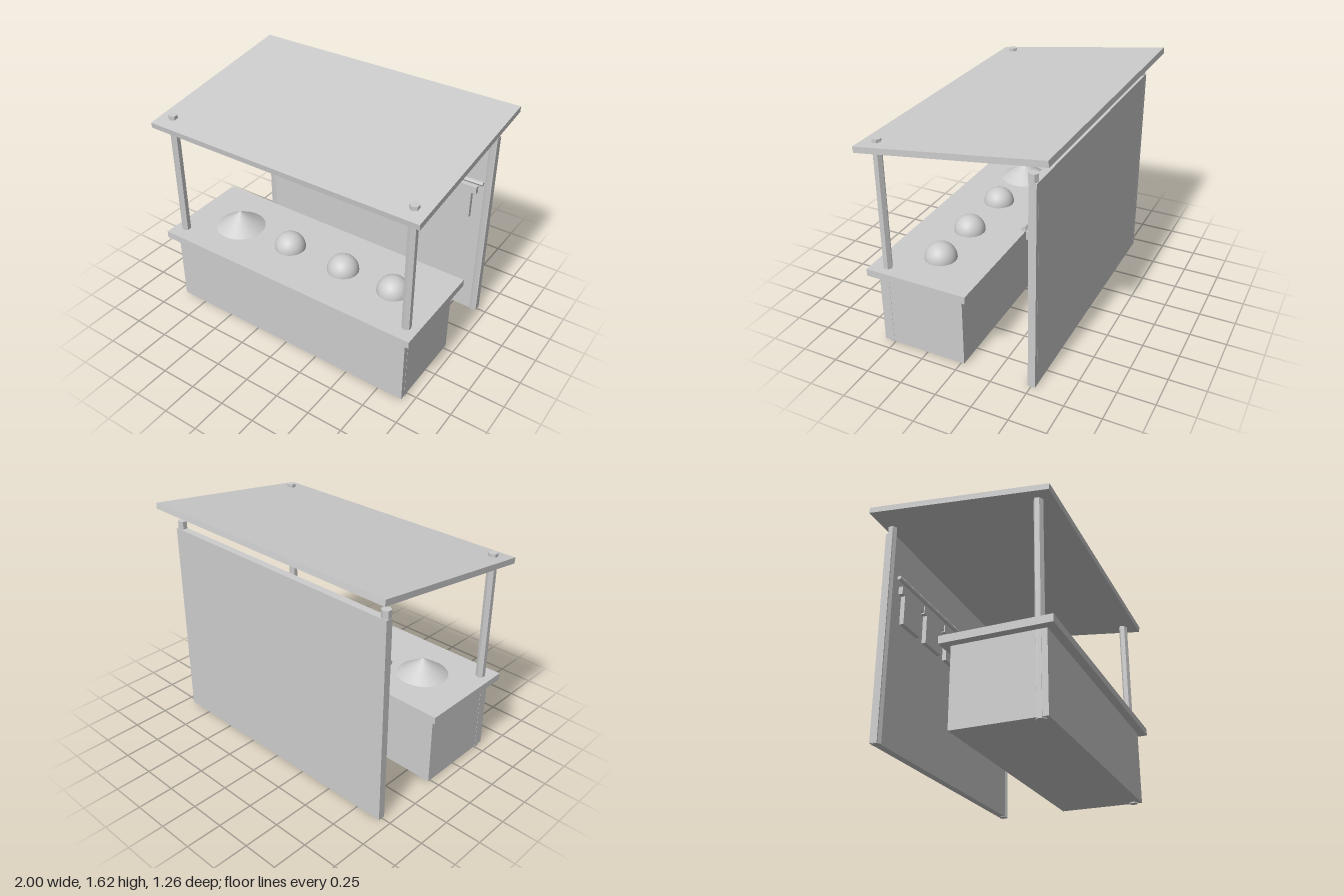
import * as THREE from 'three';

export function createModel() {
  const stall = new THREE.Group();
  stall.name = 'marketStall';

  const grey = new THREE.MeshStandardMaterial({ color: 0xcccccc });
  grey.name = 'light grey';

  const add = (name, geometry, x, y, z, parent = stall) => {
    const mesh = new THREE.Mesh(geometry, grey);
    mesh.name = name;
    mesh.position.set(x, y, z);
    parent.add(mesh);
    return mesh;
  };
  // Box given by its lower and upper limits in y and z, centred on x
  const slab = (name, halfWidth, y0, y1, z0, z1) =>
    add(name, new THREE.BoxGeometry(halfWidth * 2, y1 - y0, z1 - z0), 0, (y0 + y1) / 2, (z0 + z1) / 2);
  // Six-sided bar with flat faces
  const hexBar = (radius, length) =>
    new THREE.CylinderGeometry(radius, radius, length, 6).toNonIndexed();
  const flatten = (geometry) => { geometry.computeVertexNormals(); return geometry; };

  // Counter and back wall
  slab('counterBase', 0.931, 0.008, 0.53, -0.026, 0.574);
  slab('counterTop', 0.986, 0.53, 0.58, -0.081, 0.631);
  slab('backWall', 0.934, 0.003, 1.432, -0.529, -0.479);

  // Sloping roof, higher at the back
  const roof = add('roof', new THREE.BoxGeometry(2, 0.04, 1.264), 0, 1.514, 0);
  roof.rotation.x = THREE.MathUtils.degToRad(8);

  // Corner posts
  const postGeometry = flatten(hexBar(0.0315, 1.485));
  for (const side of [-1, 1]) {
    add('frontPost', postGeometry, side * 0.905, 0.7425, 0.52);
    add('backPost', postGeometry, side * 0.905, 0.7425, -0.498);
  }

  // Hanging rail
  const rail = add('hangingRail', flatten(hexBar(0.015, 1.79)), 0, 1.104, -0.43);
  rail.rotation.z = Math.PI / 2;

  // Row of T-shaped shirts
  const half = [[0.137, 1.063], [0.137, 1.01], [0.104, 1.01], [0.104, 0.812]];
  const outline = [...half, ...half.map(([x, y]) => [-x, y]).reverse()];
  const shirtGeometry = new THREE.ExtrudeGeometry(
    new THREE.Shape(outline.map(([x, y]) => new THREE.Vector2(x, y))),
    { depth: 0.03, bevelEnabled: false });
  const shirts = new THREE.Group();
  shirts.name = 'shirts';
  stall.add(shirts);
  for (let i = 0; i < 6; i++) {
    add('shirt', shirtGeometry, (i - 2.5) * 0.286, 0, -0.455, shirts);
  }

  // Goods on the counter: one cone heap and three domes
  add('coneHeap', new THREE.ConeGeometry(0.174, 0.12, 32), -0.605, 0.64, 0.275);
  const domeGeometry = new THREE.SphereGeometry(0.108, 32, 12, 0, Math.PI * 2, 0, Math.PI / 2);
  for (const x of [-0.166, 0.273, 0.66]) add('dome', domeGeometry, x, 0.58, 0.275);

  return stall;
}
